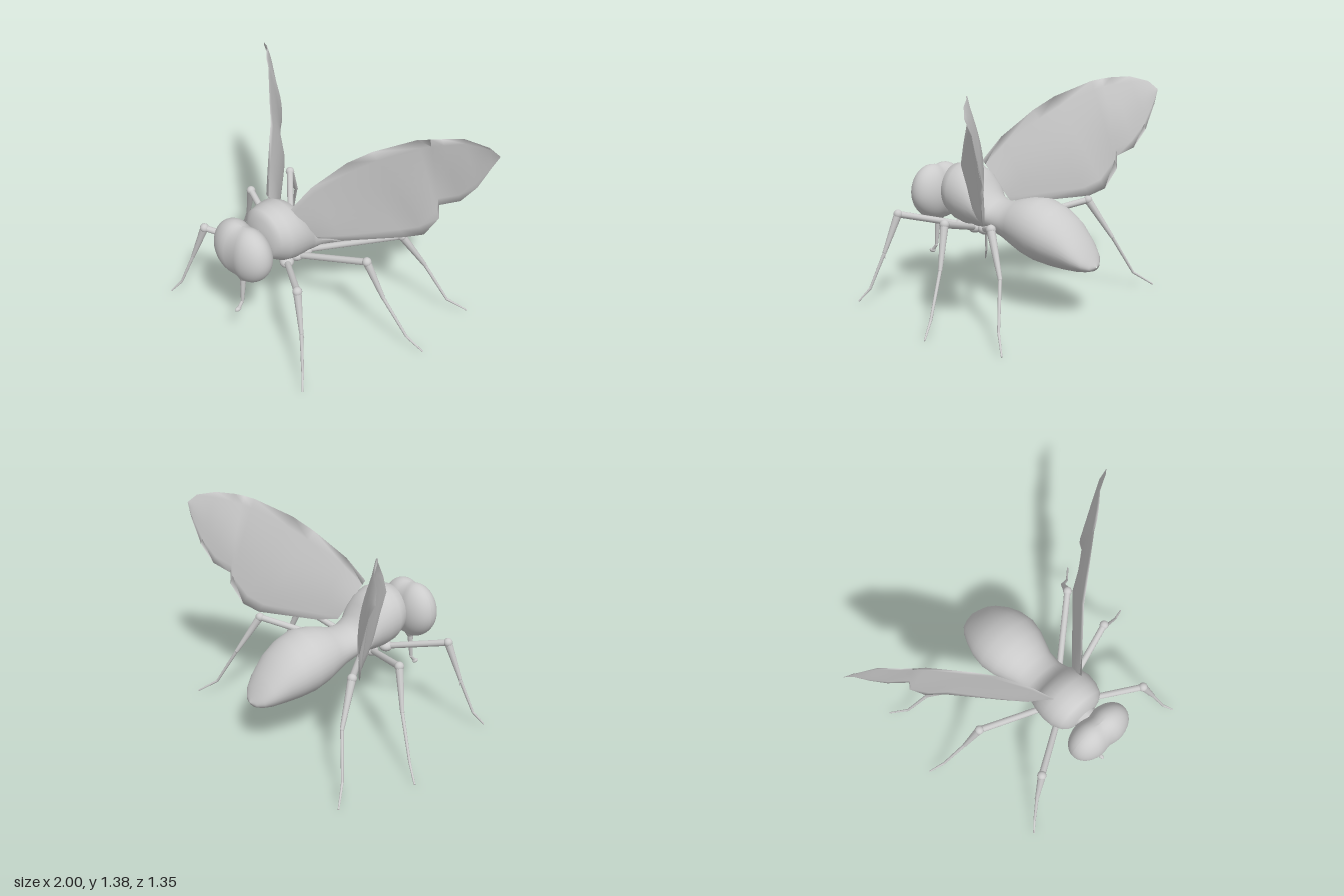
import * as THREE from 'three';

const grey = new THREE.MeshStandardMaterial({ color: 0xcccccc });
const thin = new THREE.MeshStandardMaterial({ color: 0xcccccc, side: THREE.DoubleSide });
const V = (x, y, z) => new THREE.Vector3(x, y, z);

function add(parent, name, geometry, material = grey) {
  const mesh = new THREE.Mesh(geometry, material);
  mesh.name = name;
  parent.add(mesh);
  return mesh;
}

// Skin over closed rings of points
function loft(rings, flip = false) {
  const n = rings[0].length, index = [];
  for (let i = 0; i < rings.length - 1; i++) {
    for (let j = 0; j < n; j++) {
      const a = i * n + j, b = i * n + (j + 1) % n, c = a + n, d = b + n;
      if (flip) index.push(a, b, c, b, d, c);
      else index.push(a, c, b, b, c, d);
    }
  }
  const geometry = new THREE.BufferGeometry().setFromPoints(rings.flat());
  geometry.setIndex(index);
  geometry.computeVertexNormals();
  return geometry;
}

function ball(parent, name, p, rx, ry = rx, rz = rx) {
  const mesh = add(parent, name, new THREE.SphereGeometry(1, 16, 12));
  mesh.position.copy(p);
  mesh.scale.set(rx, ry, rz);
  return mesh;
}

// Tapered rod between two points
function rod(parent, name, a, b, ra, rb) {
  const dir = b.clone().sub(a);
  const mesh = add(parent, name, new THREE.CylinderGeometry(rb, ra, dir.length(), 10));
  mesh.position.copy(a).add(b).multiplyScalar(0.5);
  mesh.quaternion.setFromUnitVectors(V(0, 1, 0), dir.normalize());
  return mesh;
}

// Thorax, waist and abdomen: z, top, bottom, half width
function body() {
  const sections = [
    [0.435, 0.70, 0.60, 0.005], [0.43, 0.74, 0.57, 0.08], [0.415, 0.80, 0.54, 0.13], [0.39, 0.845, 0.52, 0.165],
    [0.33, 0.855, 0.48, 0.19], [0.26, 0.86, 0.46, 0.197], [0.19, 0.82, 0.455, 0.187],
    [0.14, 0.76, 0.455, 0.173], [0.11, 0.69, 0.455, 0.163], [0.04, 0.645, 0.445, 0.15],
    [-0.05, 0.645, 0.41, 0.155], [-0.12, 0.67, 0.375, 0.178], [-0.2, 0.69, 0.34, 0.207],
    [-0.3, 0.695, 0.31, 0.225], [-0.4, 0.655, 0.297, 0.215], [-0.49, 0.595, 0.29, 0.187],
    [-0.58, 0.49, 0.29, 0.147], [-0.63, 0.415, 0.297, 0.11], [-0.66, 0.36, 0.305, 0.06],
    [-0.675, 0.335, 0.325, 0.004],
  ];
  return loft(sections.map(([z, top, bottom, w]) => Array.from({ length: 32 }, (_, j) => {
    const a = j / 32 * Math.PI * 2;
    return V(w * Math.cos(a), (top + bottom) / 2 + (top - bottom) / 2 * Math.sin(a), z);
  })));
}

// Head: squarish ball with a groove between the two eye lobes
function headGeometry() {
  const geometry = new THREE.SphereGeometry(1, 48, 32);
  const p = geometry.attributes.position;
  for (let i = 0; i < p.count; i++) {
    const x = p.getX(i), y = p.getY(i), z = p.getZ(i);
    const wide = Math.sign(x) * Math.pow(Math.abs(x), 0.75);
    const groove = 1 - 0.14 * Math.exp(-((wide / 0.22) ** 2));
    const jaw = y < 0 ? 1 - 0.12 * y * y : 1;
    p.setXYZ(i, 0.22 * wide * jaw, 0.645 + 0.188 * y * (y > 0 ? 0.5 + groove / 2 : 1), 0.555 + 0.122 * z * groove);
  }
  geometry.computeVertexNormals();
  return geometry;
}

// Wing: thin lens sections between leading and trailing edge, ending in a tip
const leading = [
  [0.11, 0.86, 0.27], [0.19, 1.01, 0.18], [0.33, 1.18, 0.03], [0.44, 1.265, -0.06], [0.63, 1.36, -0.22],
  [0.69, 1.372, -0.26], [0.74, 1.38, -0.30], [0.83, 1.385, -0.385], [0.95, 1.35, -0.46], [1, 1.295, -0.505],
];
const trailing = [
  [0.19, 0.60, 0.11], [0.29, 0.59, 0], [0.55, 0.62, -0.27], [0.645, 0.66, -0.33], [0.71, 0.79, -0.38],
  [0.695, 0.875, -0.385], [0.80, 0.925, -0.45], [0.88, 1.04, -0.49], [0.95, 1.20, -0.51], [1, 1.295, -0.505],
];
function wingGeometry(s) {
  const half = 10, normal = V(0.65, 0, 0.75);
  const rings = leading.map((lead, i) => Array.from({ length: 2 * half }, (_, k) => {
    const t = k <= half ? k / half : 2 - k / half;
    const side = k <= half ? -1 : 1;
    const arch = Math.sin(Math.PI * t) * Math.min(1, (9 - i) / 3);
    const ripple = 0.014 * Math.sin(i * 2.1) * t * arch;
    const p = V(...lead).lerp(V(...trailing[i]), t);
    p.addScaledVector(normal, side * 0.011 * arch - 0.012 * arch + ripple);
    p.x *= s;
    return p;
  }));
  return loft(rings, s < 0);
}

// Legs: root, knee, ankle, toe joint, toe
const legs = {
  front: [[0.09, 0.47, 0.29], [0.43, 0.565, 0.515], [0.51, 0.33, 0.56], [0.585, 0.1, 0.62], [0.638, 0.02, 0.672]],
  middle: [[0.07, 0.46, 0.19], [0.53, 0.585, 0.045], [0.63, 0.34, -0.005], [0.785, 0.09, -0.065], [0.886, 0.008, -0.107]],
  hind: [[0.07, 0.46, 0.11], [0.51, 0.6, -0.285], [0.60, 0.355, -0.42], [0.73, 0.1, -0.51], [0.828, 0.012, -0.607]],
};
const radii = [[0.02, 0.021], [0.026, 0.013], [0.011, 0.008], [0.008, 0.005]];
function leg(name, points, s) {
  const group = new THREE.Group();
  group.name = name;
  const p = points.map(([x, y, z]) => V(s * x, y, z));
  ['thigh', 'shin', 'foot', 'toe'].forEach((part, i) => {
    rod(group, part, p[i], p[i + 1], ...radii[i]);
    if (i) ball(group, part + 'Joint', p[i], [0, 0.029, 0.013, 0.008][i]);
  });
  ball(group, 'hip', p[0], 0.045, 0.035, 0.045);
  // Small spur on the ankle
  rod(group, 'spur', p[2], p[2].clone().add(V(s * 0.012, -0.04, 0)).addScaledVector(V(0, 0, 1), -0.012), 0.01, 0.001);
  return group;
}

export function createModel() {
  const model = new THREE.Group();
  model.name = 'fly';
  add(model, 'body', body());
  add(model, 'head', headGeometry());
  rod(model, 'neck', V(0, 0.65, 0.38), V(0, 0.65, 0.5), 0.09, 0.07);

  // Feeding tube with a small pad
  rod(model, 'mouth', V(0, 0.52, 0.56), V(0, 0.43, 0.565), 0.07, 0.02);
  rod(model, 'feedingTube', V(0, 0.45, 0.565), V(0, 0.27, 0.58), 0.02, 0.01);
  rod(model, 'feedingTubeEnd', V(0, 0.27, 0.58), V(0, 0.225, 0.615), 0.01, 0.012);
  ball(model, 'feedingPad', V(0, 0.225, 0.617), 0.014, 0.014, 0.023);

  for (const [side, s] of [['left', 1], ['right', -1]]) {
    add(model, side + 'Wing', wingGeometry(s), thin);
    for (const [place, points] of Object.entries(legs)) {
      model.add(leg(`${side}${place[0].toUpperCase()}${place.slice(1)}Leg`, points, s));
    }
  }
  return model;
}
